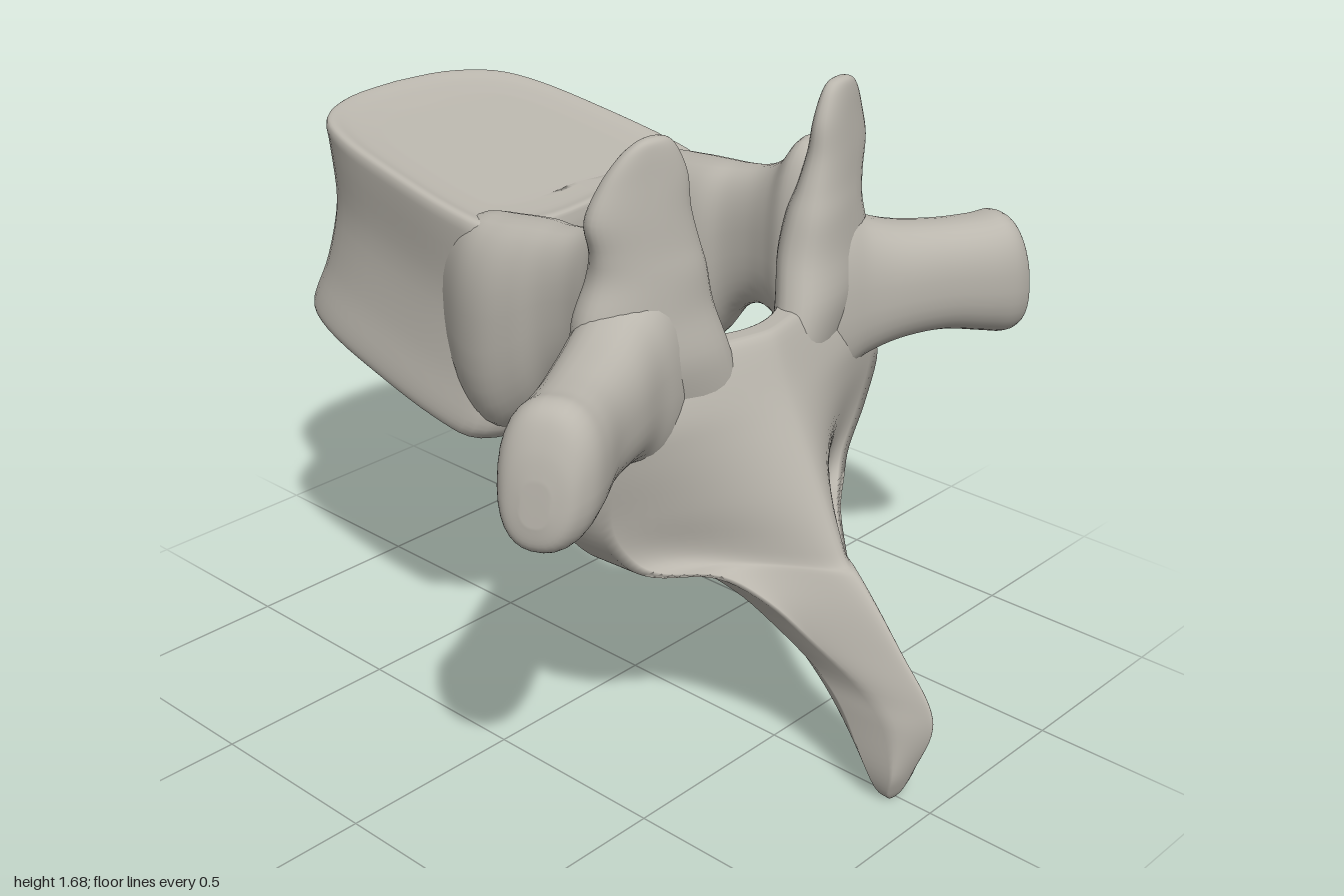
import * as THREE from 'three';

const bone = new THREE.MeshStandardMaterial({ color: 0xbab6ad });
bone.name = 'bone';

// Smoothly fills in rows between key rows of numbers (Catmull-Rom)
function fillRows(keys, steps) {
  const rows = [];
  for (let i = 0; i < keys.length - 1; i++) {
    const a = keys[Math.max(i - 1, 0)], b = keys[i], c = keys[i + 1];
    const d = keys[Math.min(i + 2, keys.length - 1)];
    for (let k = 0; k < steps; k++) {
      const t = k / steps;
      rows.push(b.map((_, j) => b[j] + 0.5 * t * (c[j] - a[j] +
        t * (2 * a[j] - 5 * b[j] + 4 * c[j] - d[j] + t * (3 * (b[j] - c[j]) + d[j] - a[j])))));
    }
  }
  rows.push(keys[keys.length - 1]);
  return rows;
}

// Skins closed rings of [x, y, z] points and caps both ends with a strip
function loft(name, rings, side = 1) {
  const n = rings[0].length, last = (rings.length - 1) * n;
  const pos = rings.flat().flatMap(([x, y, z]) => [x * side, y, z]);
  const index = [];
  for (let r = 0; r < rings.length - 1; r++) {
    for (let i = 0; i < n; i++) {
      const a = r * n + i, b = r * n + (i + 1) % n;
      index.push(a, b, b + n, a, b + n, a + n);
    }
  }
  for (let i = 0; i < n / 2 - 1; i++) {
    const j = n - 1 - i;
    index.push(i, j, j - 1, i, j - 1, i + 1);
    index.push(last + i, last + j - 1, last + j, last + i, last + i + 1, last + j - 1);
  }
  // Turn the faces outward if the enclosed volume is negative
  let volume = 0;
  const p = (i) => new THREE.Vector3().fromArray(pos, i * 3);
  for (let i = 0; i < index.length; i += 3) {
    volume += p(index[i]).dot(p(index[i + 1]).cross(p(index[i + 2])));
  }
  if (volume < 0) index.reverse();
  const geometry = new THREE.BufferGeometry();
  geometry.setAttribute('position', new THREE.Float32BufferAttribute(pos, 3));
  geometry.setIndex(index);
  geometry.computeVertexNormals();
  const mesh = new THREE.Mesh(geometry, bone);
  mesh.name = name;
  return mesh;
}

// Rounded section: calls place(u, v) with u, v in -1..1; power < 1 is boxier
function oval(place, power = 0.85, n = 32) {
  const soft = (v) => Math.sign(v) * Math.abs(v) ** power;
  return Array.from({ length: n }, (_, i) => {
    const a = (i + 0.5) / n * Math.PI * 2;
    return place(soft(Math.cos(a)), soft(Math.sin(a)));
  });
}

// Thick, waisted block with slightly dished end faces
function vertebralBody() {
  const half = fillRows([[0, 0], [0.42, 0.02], [0.75, 0.1], [0.9, 0.25], [0.97, 0.5],
    [1, 0.8], [0.92, 0.95], [0.5, 1], [0, 0.98]], 4);
  const outline = [...half, ...half.slice().reverse().map(([x, u]) => [-x, u])];
  // height fraction, half width, far z, near z
  const rows = fillRows([
    [0.05, 0.30, -0.85, -0.26], [0.035, 0.37, -0.93, -0.19], [0.0, 0.415, -0.975, -0.14],
    [0.02, 0.43, -0.998, -0.12], [0.1, 0.43, -0.985, -0.09], [0.3, 0.41, -0.94, -0.07],
    [0.6, 0.395, -0.9, -0.07], [0.88, 0.405, -0.905, -0.075], [0.97, 0.405, -0.915, -0.08],
    [1.0, 0.39, -0.9, -0.09], [0.985, 0.35, -0.85, -0.13], [0.975, 0.28, -0.77, -0.2]], 4);
  return loft('vertebralBody', rows.map(([t, w, far, near]) => outline.map(([x, u]) => {
    const z = far + (near - far) * u;
    const low = 0.77 - 0.2 * (z + 0.14), high = 1.37 - 0.17 * (z + 0.2);
    return [x * w, low + (high - low) * t, z];
  })));
}

// Curved plate behind the canal, drawn down into the long midline spine
function laminaAndSpine() {
  // y, half width, inner z, side z, side thickness, ridge z, ridge sharpness
  const rows = fillRows([
    [1.135, 0.27, 0.4, 0.24, 0.13, 0.445, 0.9], [1.115, 0.31, 0.39, 0.22, 0.17, 0.47, 0.9],
    [1.0, 0.44, 0.39, 0.26, 0.15, 0.52, 1.1], [0.9, 0.53, 0.4, 0.26, 0.13, 0.58, 1.4],
    [0.75, 0.52, 0.42, 0.235, 0.13, 0.68, 1.8], [0.64, 0.45, 0.43, 0.24, 0.13, 0.76, 2.2],
    [0.59, 0.38, 0.435, 0.29, 0.12, 0.79, 2.3], [0.57, 0.25, 0.44, 0.4, 0.1, 0.8, 2],
    [0.5, 0.165, 0.46, 0.49, 0.1, 0.85, 1.6], [0.4, 0.1, 0.52, 0.58, 0.1, 0.92, 1.1],
    [0.3, 0.058, 0.6, 0.68, 0.12, 0.99, 0.7], [0.22, 0.055, 0.68, 0.76, 0.12, 0.995, 0.6],
    [0.1, 0.058, 0.79, 0.83, 0.08, 0.945, 0.6], [0.03, 0.045, 0.845, 0.865, 0.03, 0.915, 0.6],
    [0.0, 0.02, 0.875, 0.885, 0.005, 0.895, 0.6]], 5);
  const steps = 32;
  const spread = Array.from({ length: steps + 1 }, (_, i) => {
    const k = i / steps * 2 - 1;
    return Math.sign(k) * Math.abs(k) ** 1.3;
  });
  return loft('laminaAndSpine', rows.map(([y, w, inner, edge, thick, ridge, p]) => {
    const front = spread.map((s) => [s * w, y, inner + (edge - inner) * s * s]);
    const back = spread.map((s) => {
      const rise = Math.max(0, 1 - Math.sqrt(s * s * 0.99 + 0.01)) ** p;
      return [s * w * 0.98, y, edge + thick + (ridge - edge - thick) * rise];
    });
    return [...front, ...back.reverse()];
  }));
}

// Bridge from the body to the arch: z, inner x, outer x, bottom y, top y
function pedicle(side) {
  const rows = fillRows([
    [-0.32, 0.28, 0.38, 0.95, 1.3], [-0.2, 0.23, 0.44, 0.84, 1.365],
    [-0.1, 0.2, 0.46, 0.82, 1.38], [0, 0.2, 0.445, 0.89, 1.39], [0.08, 0.23, 0.425, 0.99, 1.395],
    [0.16, 0.235, 0.42, 1.035, 1.41], [0.23, 0.225, 0.43, 1.02, 1.45],
    [0.29, 0.21, 0.44, 0.96, 1.52], [0.35, 0.22, 0.42, 0.95, 1.5]], 5);
  return loft('pedicle', rows.map(([z, x0, x1, y0, y1]) => oval((u, v) =>
    [(x0 + x1) / 2 + u * (x1 - x0) / 2, (y0 + y1) / 2 + v * (y1 - y0) / 2, z], 0.8)), side);
}

// Upright slanted blade: y, inner x, outer x, inner z, outer z, thickness
function articularProcess(side) {
  const rows = fillRows([
    [1.0, 0.08, 0.46, 0.42, 0.28, 0.14], [1.13, 0.12, 0.51, 0.41, 0.29, 0.17],
    [1.25, 0.155, 0.51, 0.385, 0.29, 0.17], [1.35, 0.18, 0.475, 0.385, 0.3, 0.15],
    [1.42, 0.205, 0.475, 0.385, 0.31, 0.12], [1.5, 0.23, 0.492, 0.385, 0.31, 0.1],
    [1.58, 0.24, 0.46, 0.385, 0.325, 0.08], [1.64, 0.265, 0.42, 0.38, 0.345, 0.06],
    [1.67, 0.29, 0.385, 0.375, 0.36, 0.04], [1.68, 0.32, 0.355, 0.37, 0.365, 0.015]], 5);
  return loft('articularProcess', rows.map(([y, x0, x1, z0, z1, t]) => oval((u, v) =>
    [(x0 + x1) / 2 + u * (x1 - x0) / 2 + v * t * 0.14, y,
      (z0 + z1) / 2 + u * (z1 - z0) / 2 + v * t * 0.48])), side);
}

// Sideways arm with a knobbed end: x, y, z, half height, half depth
function transverseProcess(side) {
  const rows = fillRows([
    [0.24, 1.1, 0.31, 0.2, 0.1], [0.36, 1.1, 0.335, 0.24, 0.115], [0.45, 1.1, 0.355, 0.195, 0.12],
    [0.55, 1.1, 0.4, 0.16, 0.118], [0.67, 1.095, 0.455, 0.15, 0.11],
    [0.77, 1.085, 0.505, 0.16, 0.115], [0.83, 1.08, 0.53, 0.17, 0.115],
    [0.87, 1.07, 0.545, 0.155, 0.1], [0.895, 1.05, 0.555, 0.11, 0.075],
    [0.905, 1.04, 0.56, 0.05, 0.035]], 5);
  return loft('transverseProcess', rows.map(([x, y, z, h, d]) => oval((u, v) =>
    [x - u * d * 0.42 - v * h * 0.1 * Math.max(0, (x - 0.6) / 0.3), y + v * h, z + u * d * 0.91])), side);
}

export function createModel() {
  const model = new THREE.Group();
  model.name = 'vertebra';
  model.add(vertebralBody(), laminaAndSpine());
  for (const side of [1, -1]) {
    const half = new THREE.Group();
    half.name = side > 0 ? 'leftProcesses' : 'rightProcesses';
    half.add(pedicle(side), articularProcess(side), transverseProcess(side));
    model.add(half);
  }
  return model;
}
